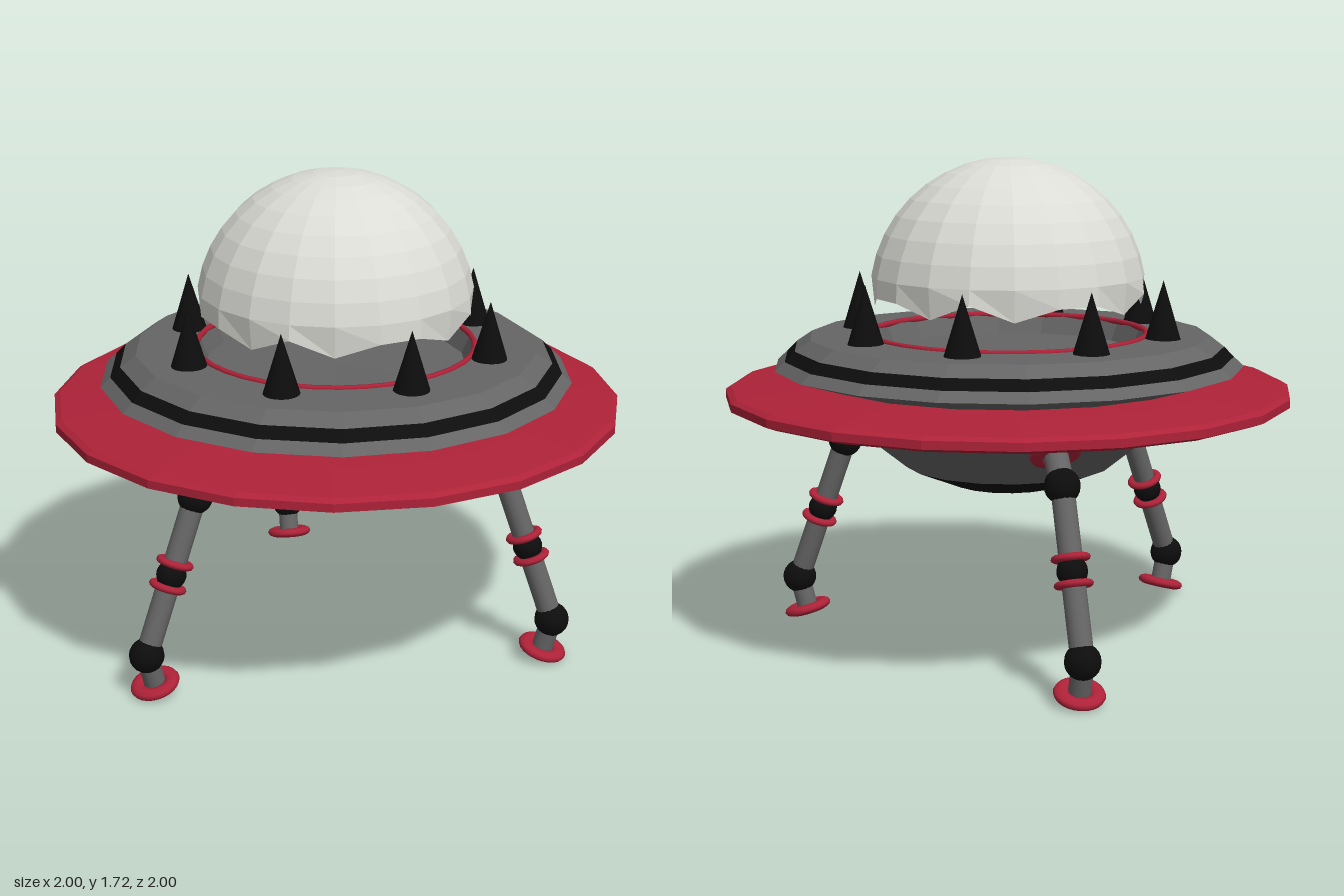
import * as THREE from 'three';

const mat = (name, color) => {
  const m = new THREE.MeshStandardMaterial({ color });
  m.name = name;
  return m;
};

export function createModel() {
  const root = new THREE.Group();
  root.name = 'flyingSaucer';

  const red = mat('red', 0xae2238);
  const grey = mat('grey', 0x656565);
  const black = mat('black', 0x0d0d0d);
  const glass = mat('paleGlass', 0xdcdcd6);
  glass.side = THREE.DoubleSide;
  const teal = mat('teal', 0x5a9aa4);

  const add = (parent, name, geometry, material, pos) => {
    const mesh = new THREE.Mesh(geometry, material);
    mesh.name = name;
    if (pos) mesh.position.copy(pos);
    parent.add(mesh);
    return mesh;
  };
  const faceted = (geometry) => {
    const g = geometry.index ? geometry.toNonIndexed() : geometry;
    g.computeVertexNormals();
    return g;
  };
  // Faceted ring of revolution; profile runs bottom, outside, top
  const lathe = (name, profile, material, sides = 18) => {
    const pts = profile.map(([r, y]) => new THREE.Vector2(r, y));
    return add(root, name, faceted(new THREE.LatheGeometry(pts, sides)), material);
  };

  // Underside: recessed light, black collar, grey bowl
  lathe('bellyLight', [[0, 0.625], [0.19, 0.625]], teal);
  lathe('bellyLightWall', [[0.19, 0.625], [0.19, 0.57]], glass);
  lathe('bellyCollar', [[0.19, 0.57], [0.2, 0.57], [0.37, 0.64]], black);
  lathe('lowerHull', [[0.37, 0.64], [0.63, 0.85]], grey);
  lathe('hullSeal', [[0.61, 0.835], [0.67, 0.855], [0.67, 0.875]], black);

  // Wide red rim
  lathe('rim', [[0.6, 0.856], [0.8, 0.86], [0.96, 0.87], [1, 0.885], [1, 0.913],
    [0.98, 0.925], [0.78, 0.945], [0.6, 0.957]], red, 20);

  // Upper hull with a black stripe, then deck and sunken cockpit
  lathe('upperHullBase', [[0.6, 0.93], [0.83, 1], [0.795, 1.033]], grey);
  lathe('hullStripe', [[0.795, 1.033], [0.76, 1.068]], black);
  lathe('deck', [[0.76, 1.068], [0.705, 1.105], [0.49, 1.108]], grey);
  lathe('cockpit', [[0.49, 1.108], [0.46, 1.04], [0, 1.03]], grey);
  const ring = add(root, 'cockpitRing', new THREE.TorusGeometry(0.49, 0.011, 6, 36), red,
    new THREE.Vector3(0, 1.108, 0));
  ring.rotation.x = Math.PI / 2;

  // Floating dome with a jagged lower edge
  const domeY = 1.238, domeR = 0.487, segs = 20, rows = 10;
  const dome = new THREE.SphereGeometry(domeR, segs, rows, 0, Math.PI * 2, 0, Math.PI / 2);
  const edge = [[1.262, 0.487], [1.205, 0.47], [1.248, 0.483], [1.248, 0.483], [1.205, 0.47]];
  const p = dome.attributes.position;
  for (let i = 0; i <= segs; i++) {
    const a = (i / segs) * Math.PI * 2;
    const [y, r] = edge[i % 5];
    p.setXYZ(rows * (segs + 1) + i, -Math.cos(a) * r, y - domeY, Math.sin(a) * r);
  }
  add(root, 'dome', faceted(dome), glass, new THREE.Vector3(0, domeY, 0));

  // Ring of spikes on the deck
  for (let i = 0; i < 8; i++) {
    const a = (i / 8) * Math.PI * 2;
    add(root, 'spike', new THREE.ConeGeometry(0.064, 0.21, 16), black,
      new THREE.Vector3(Math.cos(a) * 0.555, 1.205, Math.sin(a) * 0.56));
  }

  // Legs, each built in the x-y plane and turned into place
  const v = (x, y) => new THREE.Vector3(x, y, 0);
  const rod = (parent, name, a, b, radius, material) => {
    const d = b.clone().sub(a);
    const m = add(parent, name, new THREE.CylinderGeometry(radius, radius, d.length(), 14),
      material, a.clone().add(b).multiplyScalar(0.5));
    m.quaternion.setFromUnitVectors(new THREE.Vector3(0, 1, 0), d.normalize());
  };
  const hoop = (parent, name, pos, axis, radius, tube, flat) => {
    const m = add(parent, name, new THREE.TorusGeometry(radius, tube, 10, 24), red, pos);
    m.quaternion.setFromUnitVectors(new THREE.Vector3(0, 0, 1), axis.clone().normalize());
    m.scale.z = flat;
  };
  const ball = (parent, name, pos, radius) =>
    add(parent, name, new THREE.SphereGeometry(radius, 18, 12), black, pos);

  const makeLeg = (angle, ankleX) => {
    const leg = new THREE.Group();
    leg.name = 'leg';
    const hip = v(0.62, 0.687), ankle = v(ankleX, 0.157), foot = v(ankleX - 0.03, 0.04);
    const shin = ankle.clone().sub(hip);
    const along = (t) => hip.clone().addScaledVector(shin, t);
    hoop(leg, 'hipSocket', v(0.55, 0.78), v(0.65, -0.76), 0.062, 0.027, 0.6);
    rod(leg, 'hipLink', v(0.53, 0.8), hip, 0.042, grey);
    ball(leg, 'hipJoint', hip, 0.061);
    rod(leg, 'strut', hip, ankle, 0.04, grey);
    ball(leg, 'kneeJoint', along(0.49), 0.052);
    hoop(leg, 'kneeRing', along(0.415), shin, 0.05, 0.016, 0.8);
    hoop(leg, 'kneeRing', along(0.565), shin, 0.05, 0.016, 0.8);
    ball(leg, 'ankleJoint', ankle, 0.061);
    rod(leg, 'ankleLink', ankle, foot, 0.038, grey);
    hoop(leg, 'footRing', foot, v(0.28, 0.96), 0.06, 0.027, 0.65);
    leg.rotation.y = THREE.MathUtils.degToRad(angle);
    root.add(leg);
  };
  makeLeg(0, 0.81);
  makeLeg(122, 0.84);
  makeLeg(-122, 0.84);

  return root;
}
